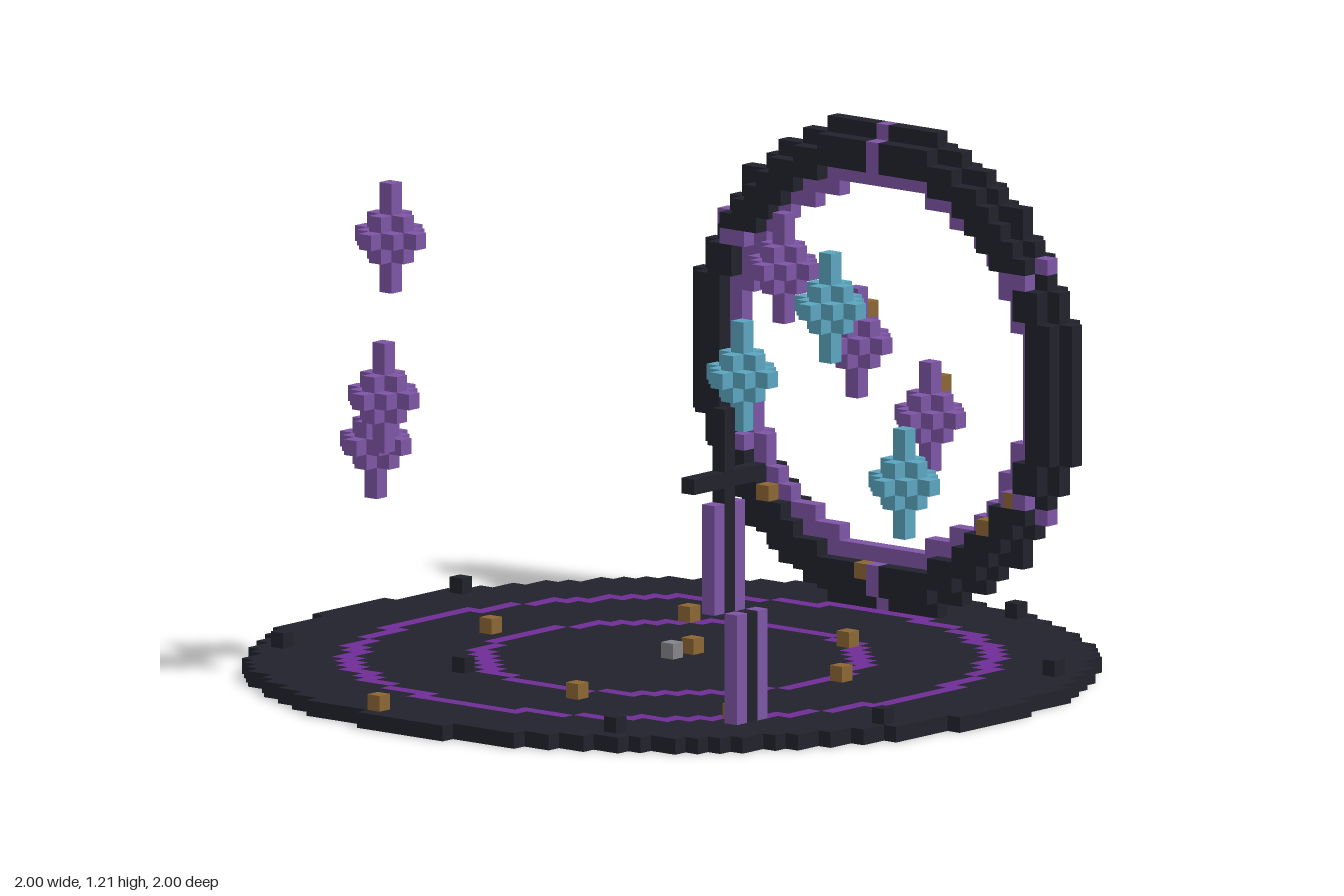
import * as THREE from 'three';
import { mergeGeometries } from 'three/addons/utils/BufferGeometryUtils.js';

const U = 2 / 53; // edge of one block

const mat = (name, color) => {
  const m = new THREE.MeshStandardMaterial({ color });
  m.name = name;
  return m;
};

// A set of grid cells that becomes one mesh, with rows along x joined into bars
class Blocks {
  constructor() { this.cells = new Map(); }
  add(x, y, z) { this.cells.set(`${x},${y},${z}`, [x, y, z]); return this; }
  has(x, y, z) { return this.cells.has(`${x},${y},${z}`); }
  column(x, y0, y1, z) {
    for (let y = y0; y <= y1; y++) this.add(x, y, z);
    return this;
  }
  mesh(name, material) {
    const bars = [];
    for (const [x, y, z] of this.cells.values()) {
      if (this.has(x - 1, y, z)) continue;
      let n = 1;
      while (this.has(x + n, y, z)) n++;
      const bar = new THREE.BoxGeometry(n * U, U, U);
      bars.push(bar.translate((x + (n - 1) / 2) * U, (y + 0.5) * U, z * U));
    }
    const mesh = new THREE.Mesh(mergeGeometries(bars), material);
    mesh.name = name;
    return mesh;
  }
}

export function createModel() {
  const dark = mat('dark stone', 0x22222c);
  const violet = mat('violet crystal', 0x7e55a5);
  const rune = mat('rune purple', 0x6f2c96);
  const cyan = mat('cyan crystal', 0x5ba5bf);
  const gold = mat('dull gold', 0x8c6634);
  const grey = mat('grey', 0x84848a);
  const model = new THREE.Group();
  model.name = 'portalShrine';

  // Round floor with two inlaid circles
  const circles = new Blocks();
  for (const r of [12, 20]) {
    for (let i = 0; i < 720; i++) {
      const a = (i * Math.PI) / 360;
      circles.add(Math.round(r * Math.cos(a)), 0, Math.round(r * Math.sin(a)));
    }
  }
  const floor = new Blocks();
  for (let x = -26; x <= 26; x++) {
    for (let z = -26; z <= 26; z++) {
      if (x * x + z * z <= 690 && !circles.has(x, 0, z)) floor.add(x, 0, z);
    }
  }
  model.add(floor.mesh('floor', dark), circles.mesh('floorCircles', rune));

  // Upright ring at the back: stepped dark rim, violet lining, six violet bands
  const cy = 16, cz = -21;
  const bands = new Blocks();
  for (let k = 0; k < 6; k++) {
    const a = Math.PI / 2 + (k * Math.PI) / 3;
    for (let r = 13; r <= 15; r++) {
      for (let dz = -1; dz <= 1; dz++) {
        if (r === 15 && dz) continue;
        bands.add(Math.round(r * Math.cos(a)), cy + Math.round(r * Math.sin(a)), cz + dz);
      }
    }
  }
  const ringLights = new Blocks();
  for (const [x, y] of [[-11, 10], [-9, 7], [9, 7], [11, 9], [-1, 3], [0, 3]]) ringLights.add(x, y, cz + 1);
  const rim = new Blocks();
  const lining = new Blocks();
  for (let x = -15; x <= 15; x++) {
    for (let y = -15; y <= 15; y++) {
      const d = Math.hypot(x, y);
      for (let dz = -1; dz <= 1; dz++) {
        const p = [x, cy + y, cz + dz];
        if (bands.has(...p) || ringLights.has(...p)) continue;
        if (d > 12.66 && d < (dz ? 14.6 : 15.6)) rim.add(...p);
        else if (!dz && d > 11.66 && d <= 12.66) lining.add(...p);
      }
    }
  }
  model.add(
    rim.mesh('portalRim', dark),
    lining.mesh('portalLining', violet),
    bands.mesh('portalBands', violet),
    ringLights.mesh('portalLights', gold),
  );

  // Floating crystals: small octahedra with longer tips
  const crystal = (name, material, cx, y0, z0) => {
    const b = new Blocks().column(cx, y0 - 3, y0 + 3, z0);
    for (let x = -2; x <= 2; x++) {
      for (let y = -2; y <= 2; y++) {
        for (let z = -2; z <= 2; z++) {
          if (Math.abs(x) + Math.abs(y) + Math.abs(z) <= 2) b.add(cx + x, y0 + y, z0 + z);
        }
      }
    }
    model.add(b.mesh(name, material));
  };
  [[-18, 26, 6], [-15, 14, 11], [-11, 18, 15]].forEach((p) => crystal('rightCrystal', violet, ...p));
  [[-6, 22, -18], [0, 18, -18], [6, 14, -18]].forEach((p) => crystal('backCrystal', violet, ...p));
  [[18, 26, 6], [15, 22, 11], [19, 14, 0]].forEach((p) => crystal('leftCrystal', cyan, ...p));

  // Standing sword-like post on the left
  const postCore = new Blocks().column(17, 1, 7, 13).column(16, 8, 20, 14);
  for (let z = 11; z <= 17; z++) postCore.add(16, 16, z);
  const postSides = new Blocks()
    .column(17, 1, 7, 12).column(17, 1, 7, 14)
    .column(16, 8, 14, 13).column(16, 8, 14, 15);
  model.add(postCore.mesh('postCore', dark), postSides.mesh('postSides', violet));

  // Loose pieces on the floor and sparks behind the back crystals
  const pebbles = new Blocks();
  for (const [x, z] of [[8, -24], [-24, -8], [22, -11], [-21, 13], [-7, 12], [13, 21], [24, 8]]) pebbles.add(x, 1, z);
  const nuggets = new Blocks();
  for (const [x, z] of [[-7, -10], [6, -10], [0, -2], [13, -1], [-14, 1], [4, 14], [-3, 25], [16, 13]]) nuggets.add(x, 1, z);
  const sparks = new Blocks().add(6, 16, -19).add(0, 20, -19);
  model.add(
    pebbles.mesh('pebbles', dark),
    nuggets.mesh('goldNuggets', gold),
    sparks.mesh('goldSparks', gold),
    new Blocks().add(0, 1, 0).mesh('centreStone', grey),
  );
  return model;
}
